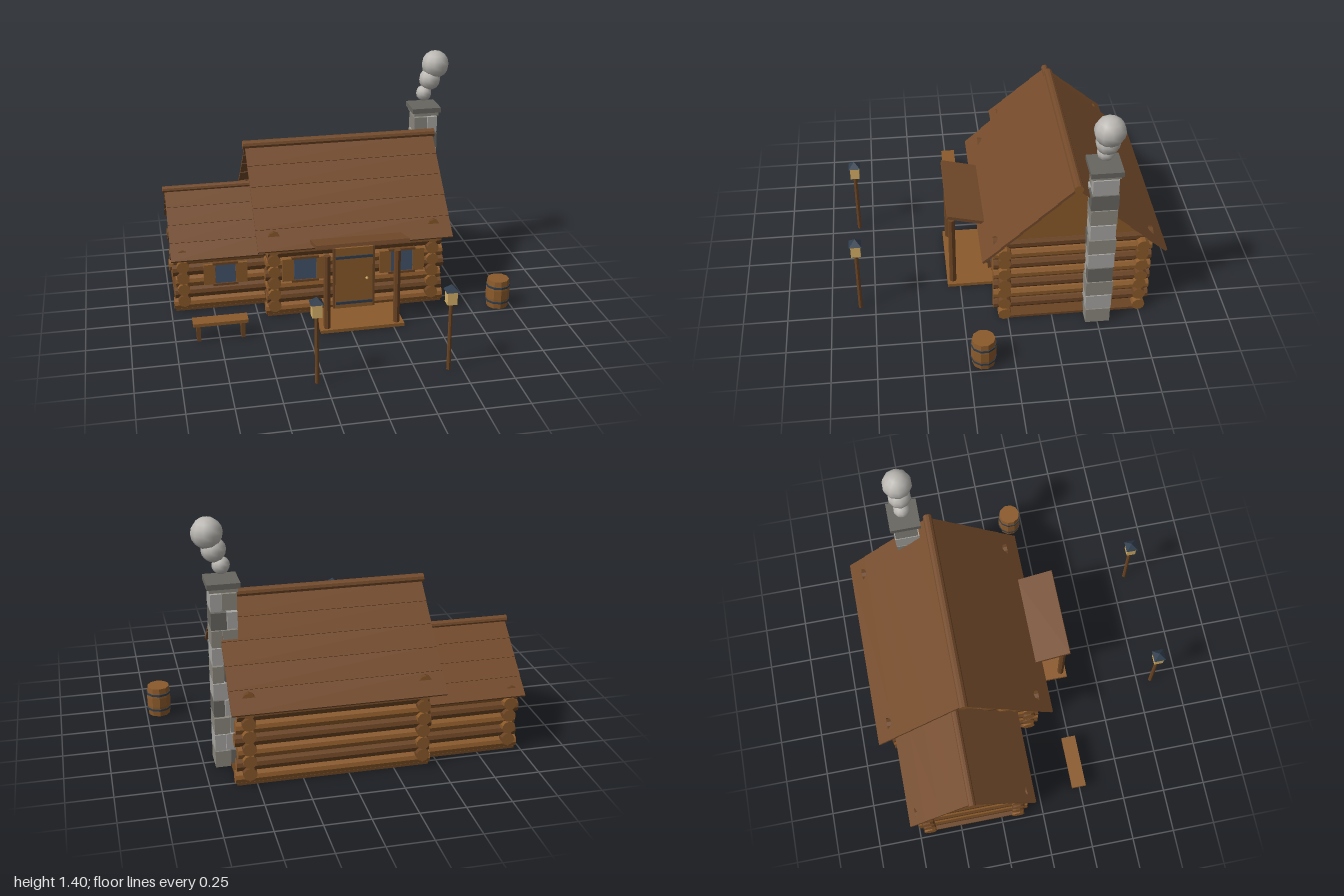
import * as THREE from 'three';

const mat = (name, color, flatShading = true) => {
  const m = new THREE.MeshStandardMaterial({ color, flatShading });
  m.name = name;
  return m;
};

export function createModel() {
  const root = new THREE.Group();
  root.name = 'logCabin';
  const wood = mat('warm wood', 0x8b5a2b);
  const dark = mat('dark wood', 0x6b4423);
  const roofMat = mat('roof wood', 0x734a2a);
  const iron = mat('blue iron', 0x2f3d4d);
  const glass = mat('window glass', 0x43546a);
  const stone = mat('stone', 0x8a877e);
  const paleStone = mat('pale stone', 0xa8a6a2);
  const darkStone = mat('dark stone', 0x686660);
  const smokeMat = mat('smoke', 0xbab7b2, false);
  const lampMat = mat('lamp glow', 0xd8b268);

  const add = (parent, name, geo, material, x = 0, y = 0, z = 0) => {
    const m = new THREE.Mesh(geo, material);
    m.name = name;
    m.position.set(x, y, z);
    parent.add(m);
    return m;
  };
  const box = (parent, name, material, w, h, d, x, y, z) =>
    add(parent, name, new THREE.BoxGeometry(w, h, d), material, x, y, z);
  const group = (name, x = 0, y = 0, z = 0) => {
    const g = new THREE.Group();
    g.name = name;
    g.position.set(x, y, z);
    root.add(g);
    return g;
  };
  // Log along x or z between two ends, with lighter cut faces
  const log = (parent, name, axis, a, b, y, other, r, side) => {
    const g = new THREE.CylinderGeometry(r, r, b - a, 10);
    if (axis === 'x') g.rotateZ(Math.PI / 2);
    else g.rotateX(Math.PI / 2);
    const c = (a + b) / 2;
    return add(parent, name, g, [side, wood, wood], axis === 'x' ? c : other, y, axis === 'x' ? other : c);
  };

  // Interlocked log walls, gables, overlapping roof boards and ridge log
  const STEP = 0.0727;
  function cabin(o) {
    const g = group(o.name);
    for (let i = 0; i < o.layers; i++) {
      const y = 0.038 + i * STEP;
      const j = (i % 3) * 0.008;
      for (const z of [o.z0, o.z1])
        log(g, 'longLog', 'x', o.logX0 + j, o.logX1 - j, y, z, 0.037, i % 2 ? dark : wood);
      for (const x of o.sideX)
        log(g, 'sideLog', 'z', o.z0 - 0.06, o.z1 + 0.06, y + STEP / 2, x, 0.037, i % 2 ? wood : dark);
    }
    const zc = o.ridgeZ;
    const xm = (o.logX0 + o.logX1) / 2;
    box(g, 'floor', dark, o.logX1 - o.logX0 - 0.02, 0.015, o.z1 - o.z0 + 0.06, xm, 0.0075, (o.z0 + o.z1) / 2);

    const tri = new THREE.Shape();
    tri.moveTo(-o.gableHalf, 0);
    tri.lineTo(o.gableHalf, 0);
    tri.lineTo(0, o.gableTop - o.gableY);
    const gable = new THREE.ExtrudeGeometry(tri, { depth: 0.04, bevelEnabled: false });
    gable.translate(0, 0, -0.02).rotateY(Math.PI / 2);
    for (const x of o.sideX) add(g, 'gable', gable, wood, x, o.gableY, zc);

    const rise = o.ridgeY - o.eaveY;
    const slope = Math.atan2(rise, o.roofHalf);
    const len = Math.hypot(rise, o.roofHalf);
    const n = o.boards;
    for (const s of [1, -1]) {
      for (let k = 0; k < n; k++) {
        const t = (k + 0.5) / n;
        const b = box(g, 'roofBoard', roofMat, o.roofX1 - o.roofX0, 0.014, len / n + 0.012,
          (o.roofX0 + o.roofX1) / 2, o.ridgeY - rise * t, zc + s * o.roofHalf * t);
        b.rotation.x = s * (slope - 0.03);
      }
    }
    log(g, 'ridgeLog', 'x', o.roofX0 - 0.012, o.roofX1 + 0.012, o.ridgeY + 0.002, zc, o.ridgeR, roofMat);
  }
  cabin({
    name: 'mainCabin', layers: 7, logX0: -0.455, logX1: 0.615, z0: -0.75, z1: 0.02, sideX: [-0.405, 0.54],
    ridgeZ: -0.365, ridgeY: 0.927, eaveY: 0.46, roofHalf: 0.503, roofX0: -0.505, roofX1: 0.64, ridgeR: 0.026,
    boards: 5, gableHalf: 0.43, gableY: 0.52, gableTop: 0.905
  });
  cabin({
    name: 'sideCabin', layers: 5, logX0: -0.98, logX1: -0.385, z0: -0.685, z1: -0.15, sideX: [-0.92],
    ridgeZ: -0.416, ridgeY: 0.66, eaveY: 0.355, roofHalf: 0.358, roofX0: -0.988, roofX1: -0.43, ridgeR: 0.021,
    boards: 4, gableHalf: 0.3, gableY: 0.385, gableTop: 0.64
  });

  // Shuttered windows
  function shutterWindow(x, y, z, size) {
    const g = group('window', x, y, z);
    const h = size / 2;
    box(g, 'glass', glass, size, size, 0.008, 0, 0, 0.006);
    for (const s of [-1, 1]) {
      box(g, 'shutter', wood, 0.068, size + 0.01, 0.018, s * (h + 0.036), 0, 0.004);
      box(g, 'frameRail', dark, size + 0.03, 0.014, 0.024, 0, s * (h + 0.008), 0.004);
    }
    box(g, 'backing', dark, size + 0.02, size + 0.02, 0.012, 0, 0, -0.006);
  }
  shutterWindow(-0.223, 0.298, 0.06, 0.13);
  shutterWindow(0.355, 0.298, 0.06, 0.13);
  shutterWindow(-0.672, 0.23, -0.11, 0.118);

  // Door with iron straps and a knob
  const door = group('door', 0.067, 0.215, 0.065);
  box(door, 'doorPanel', wood, 0.222, 0.39, 0.02, 0, 0, 0);
  for (const s of [-1, 1]) {
    box(door, 'doorJamb', dark, 0.014, 0.39, 0.024, s * 0.118, 0, -0.004);
    box(door, 'strap', iron, 0.222, 0.016, 0.008, 0, s * 0.148 - 0.012, 0.012);
  }
  add(door, 'knob', new THREE.SphereGeometry(0.009, 8, 6), lampMat, 0.075, -0.005, 0.018);

  // Porch
  const porch = group('porch', 0.067);
  box(porch, 'deck', wood, 0.49, 0.02, 0.28, 0, 0.01, 0.183);
  for (const s of [-1, 1])
    add(porch, 'post', new THREE.CylinderGeometry(0.02, 0.02, 0.46, 8), dark, s * 0.204, 0.245, 0.29);
  box(porch, 'porchRoof', roofMat, 0.536, 0.02, 0.222, 0, 0.514, 0.208).rotation.x = -0.25;

  // Chimney: split stone courses with alternating joints, then a cap
  const chimney = group('chimney', 0.62, 0, -0.5);
  const stones = [stone, paleStone, stone, darkStone, paleStone];
  for (let i = 0; i < 10; i++) {
    const y = 0.05 + i * 0.101;
    const split = i % 2 ? 0.012 : -0.012;
    const dz = 0.138 + (i % 3) * 0.006;
    const wL = split + 0.066, wR = 0.07 - split;
    box(chimney, 'stone', stones[(i + 3) % 5], wL, 0.092, dz - 0.008, split - 0.004 - wL / 2, y, 0);
    box(chimney, 'stone', stones[i % 5], wR, 0.095, dz, split + 0.004 + wR / 2 - 0.004, y, 0);
  }
  box(chimney, 'capNeck', stone, 0.15, 0.02, 0.155, 0, 1.027, 0);
  box(chimney, 'cap', darkStone, 0.175, 0.03, 0.175, 0, 1.053, 0);

  // Smoke puffs
  const smoke = group('smoke', 0.62, 0, -0.5);
  for (const [x, y, r] of [[0, 1.142, 0.048], [0.035, 1.228, 0.066], [0.067, 1.32, 0.084]])
    add(smoke, 'puff', new THREE.SphereGeometry(r, 10, 8), smokeMat, x, y, 0);

  // Lamp posts
  for (const x of [-0.295, 0.427]) {
    const lamp = group('lampPost', x, 0, 0.835);
    add(lamp, 'pole', new THREE.CylinderGeometry(0.011, 0.012, 0.405, 8), dark, 0, 0.2025, 0);
    box(lamp, 'lantern', lampMat, 0.054, 0.075, 0.054, 0, 0.438, 0);
    const cap = new THREE.ConeGeometry(0.049, 0.036, 4).rotateY(Math.PI / 4);
    add(lamp, 'lanternCap', cap, iron, 0, 0.493, 0);
  }

  // Bench
  const bench = group('bench', -0.743, 0, 0.238);
  box(bench, 'benchSeat', wood, 0.312, 0.02, 0.084, 0, 0.105, 0);
  for (const s of [-1, 1]) box(bench, 'benchLeg', dark, 0.022, 0.095, 0.068, s * 0.126, 0.0475, 0);

  // Barrel with hoops
  const barrel = group('barrel', 0.925, 0, 0.17);
  const profile = [[0, 0], [0.064, 0], [0.07, 0.06], [0.07, 0.115], [0.064, 0.175], [0, 0.175]]
    .map(p => new THREE.Vector2(...p));
  add(barrel, 'staves', new THREE.LatheGeometry(profile, 10), wood);
  for (const y of [0.04, 0.135])
    add(barrel, 'hoop', new THREE.CylinderGeometry(0.0715, 0.0715, 0.012, 10), iron, 0, y, 0);

  return root;
}
